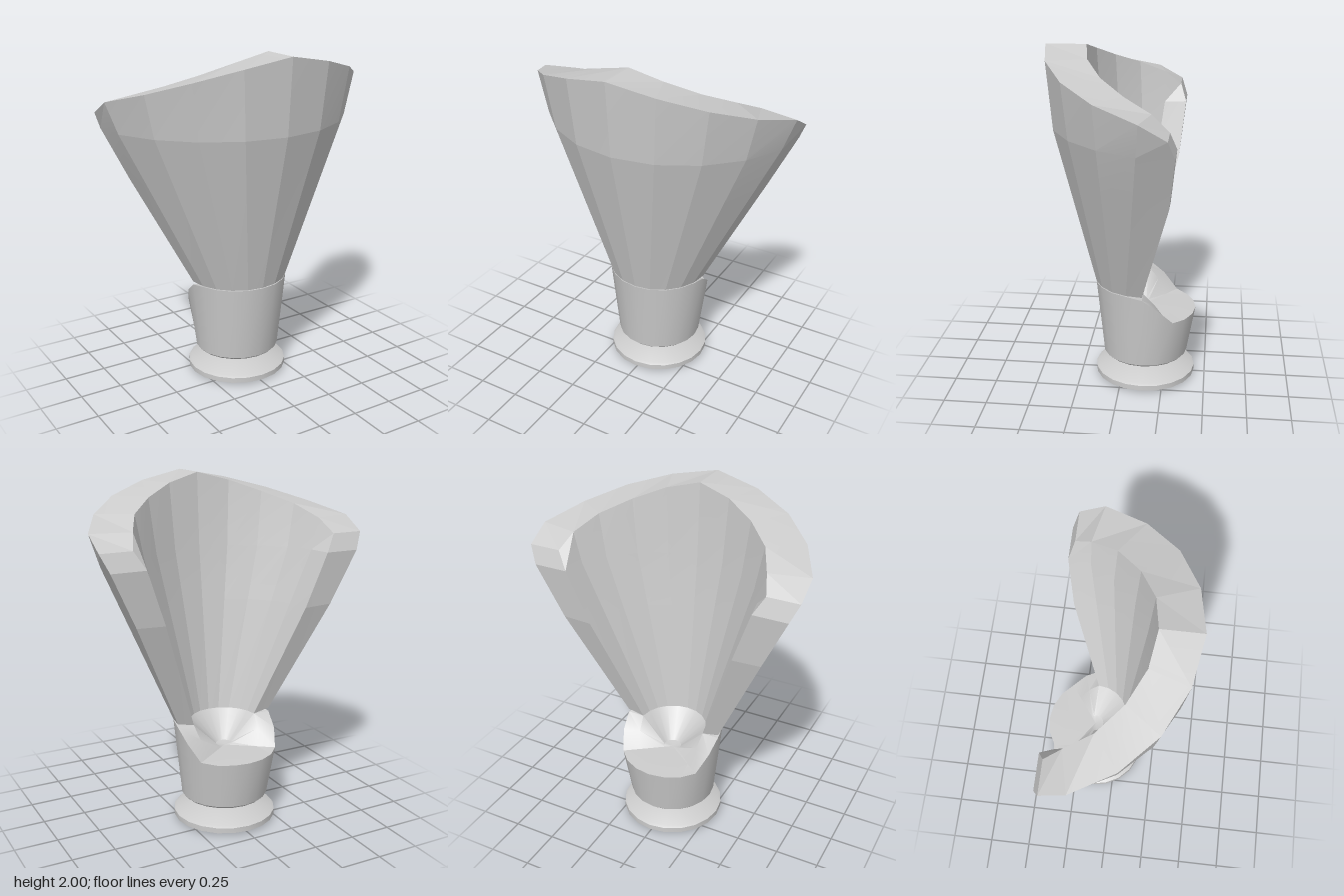
import * as THREE from 'three';
import { toCreasedNormals } from 'three/addons/utils/BufferGeometryUtils.js';

const STEP = Math.PI / 10; // 20 sides all round
const CZ = -0.135; // axis of the cup and foot
const material = new THREE.MeshStandardMaterial({ color: 0xcccccc });

const polar = (i, r, y) => [r * Math.sin(i * STEP), y, CZ + r * Math.cos(i * STEP)];
const mix = (a, b, t) => a.map((v, k) => v + (b[k] - v) * t);

// Skins a list of equal-length sections; optional caps close the two ends.
function skin(sections, capped, crease) {
  const n = sections[0].length;
  const index = [];
  const quad = (a, b, c, d) => index.push(a, b, c, a, c, d);
  for (let i = 0; i < sections.length - 1; i++) {
    for (let j = 0; j < n - 1; j++) {
      const a = i * n + j;
      quad(a, a + n, a + n + 1, a + 1);
    }
  }
  if (capped) {
    const e = (sections.length - 1) * n;
    for (let j = 0; j < n / 2 - 1; j++) {
      const k = n - 1 - j;
      quad(j, j + 1, k - 1, k);
      quad(e + j, e + k, e + k - 1, e + j + 1);
    }
  }
  const geometry = new THREE.BufferGeometry();
  geometry.setAttribute('position', new THREE.Float32BufferAttribute(sections.flat(2), 3));
  geometry.setIndex(index);
  return toCreasedNormals(geometry, crease);
}

function part(name, geometry) {
  const mesh = new THREE.Mesh(geometry, material);
  mesh.name = name;
  return mesh;
}

// Half outlines of the flared shell, from the front centre to the back edge
const outerTop = [[0, 2, 0.435], [0.265, 1.95, 0.39], [0.5, 1.885, 0.27],
  [0.68, 1.815, 0.085], [0.8, 1.75, -0.15], [0.8, 1.67, -0.295]];
const innerTop = [[0, 2, 0.205], [0.19, 1.95, 0.175], [0.36, 1.885, 0.085],
  [0.5, 1.82, -0.05], [0.575, 1.75, -0.2], [0.615, 1.67, -0.295]];
const outerMid = [[0, 1.57, 0.4], [0.24, 1.57, 0.36], [0.455, 1.57, 0.245],
  [0.625, 1.57, 0.075], [0.735, 1.57, -0.135], [0.755, 1.57, -0.33]];
const innerMid = [[0, 1.57, 0.18], [0.17, 1.57, 0.15], [0.325, 1.57, 0.065],
  [0.455, 1.57, -0.065], [0.53, 1.57, -0.2], [0.555, 1.57, -0.33]];

function shellSection(i) {
  const k = Math.abs(i);
  const wall = (top, mid, r, y) => {
    const base = polar(k, r, y);
    const low = mix(base, mid[k], 0.675);
    if (k === 5) low[2] -= 0.03; // back edge bows outwards
    return [base, low, mid[k], top[k]];
  };
  const loop = [...wall(outerTop, outerMid, 0.3, 0.62), ...wall(innerTop, innerMid, 0.2, 0.6).reverse()];
  return loop.map(([x, y, z]) => [i < 0 ? -x : x, y, z]);
}

// Cup with a dished floor, cut low at the back where a flat tongue runs to the centre
function cupSection(i) {
  const k = Math.min(i, 20 - i);
  const rim = k < 5 ? 0.615 : [0.6, 0.53, 0.44, 0.435, 0.435, 0.435][k - 5];
  const floor = k <= 5 ? 0.6 : k === 6 ? 0.53 : 0.44;
  return [[0.13, 0.11], [0.24, 0.145], [0.2525, 0.157], [0.3, rim], [0.2, floor],
    [0.05, k < 7 ? 0.45 : 0.44], [0, 0.44]].map(([r, y]) => polar(i, r, y));
}

export function createModel() {
  const model = new THREE.Group();
  model.name = 'flaredScoop';

  const shell = [];
  for (let i = -5; i <= 5; i++) shell.push(shellSection(i));
  model.add(part('flaredShell', skin(shell, true, 0.1)));

  const cup = [];
  for (let i = 0; i <= 20; i++) cup.push(cupSection(i));
  model.add(part('cup', skin(cup, false, 0.55)));

  // Round foot with a small pad underneath and a narrow neck on top
  const profile = [[0, 0], [0.045, 0], [0.05, 0.01], [0.285, 0.01], [0.3, 0.016],
    [0.3, 0.047], [0.285, 0.056], [0.13, 0.11], [0, 0.11]];
  const lathe = new THREE.LatheGeometry(profile.map(([r, y]) => new THREE.Vector2(r, y)), 20);
  const foot = part('foot', toCreasedNormals(lathe, 0.55));
  foot.position.z = CZ;
  model.add(foot);

  return model;
}
